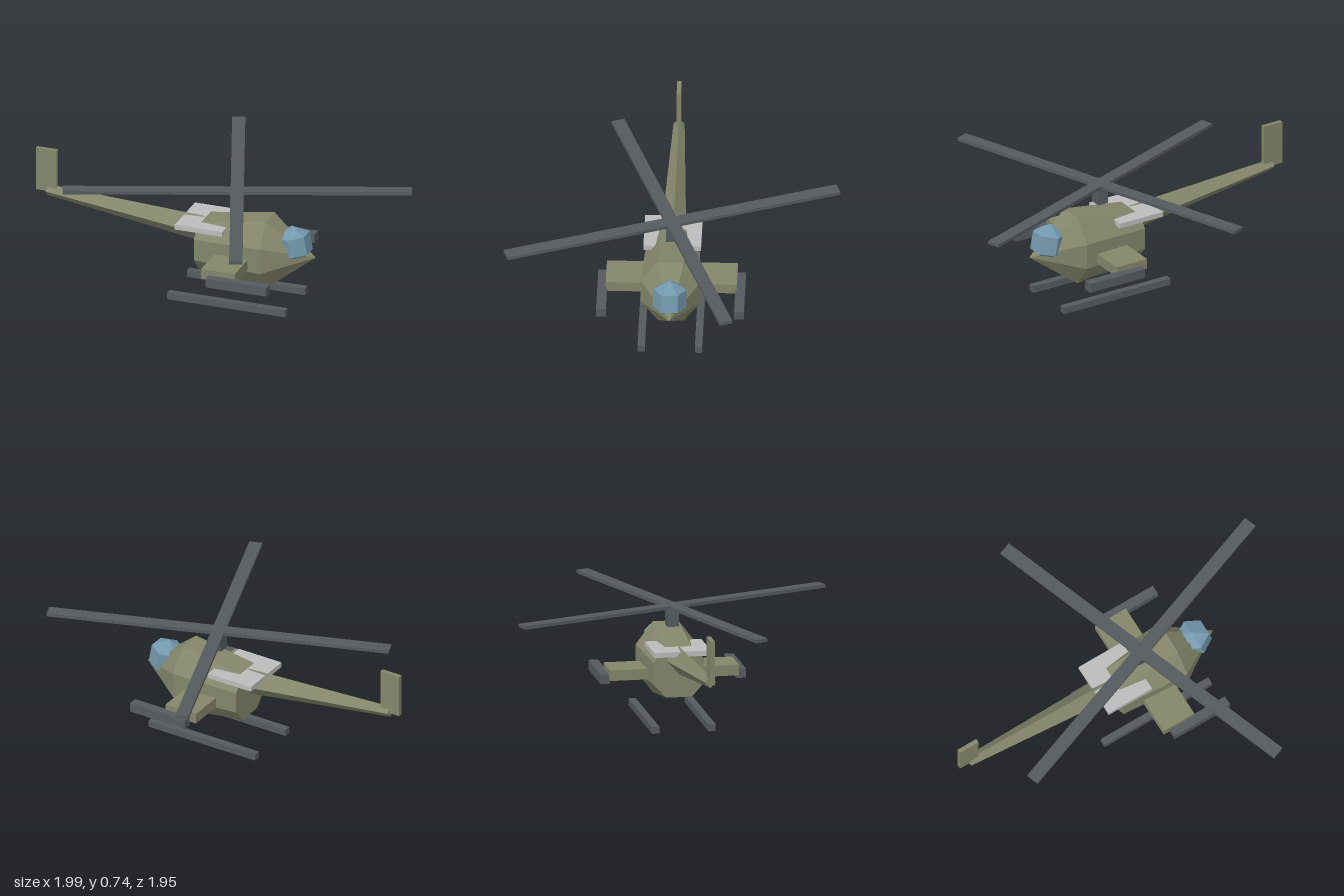
import * as THREE from 'three';
import { ConvexGeometry } from 'three/addons/geometries/ConvexGeometry.js';

const paint = (name, color) => {
  const m = new THREE.MeshStandardMaterial({ color, flatShading: true });
  m.name = name;
  return m;
};

export function createModel() {
  const olive = paint('olive', 0x83866a);
  const dark = paint('darkGrey', 0x565a5f);
  const light = paint('lightGrey', 0xbcbcbc);
  const blue = paint('glassBlue', 0x7399ae);

  // The craft points along its own +x; z is across, then it is yawed as a whole
  const craft = new THREE.Group();
  craft.name = 'helicopter';

  const add = (name, geometry, material) => {
    const mesh = new THREE.Mesh(geometry, material);
    mesh.name = name;
    craft.add(mesh);
    return mesh;
  };
  // Box given by its low and high corners
  const box = (name, material, [x0, y0, z0], [x1, y1, z1]) => {
    const mesh = add(name, new THREE.BoxGeometry(x1 - x0, y1 - y0, z1 - z0), material);
    mesh.position.set((x0 + x1) / 2, (y0 + y1) / 2, (z0 + z1) / 2);
    return mesh;
  };
  // Eight-sided body section: half height h, half width w, half edges a (top) and b (side)
  const octagon = (x, y, h, w, a, b) =>
    [[a, h], [w, b], [w, -b], [a, -h], [-a, -h], [-w, -b], [-w, b], [-a, h]]
      .map(([z, dy]) => new THREE.Vector3(x, y + dy, z));
  // Diamond tail section
  const diamond = (x, y, h, w) =>
    [[0, h], [w, 0], [0, -h], [-w, 0]].map(([z, dy]) => new THREE.Vector3(x, y + dy, z));

  // Fuselage with pointed nose
  add('fuselage', new ConvexGeometry([
    new THREE.Vector3(0.48, 0.315, 0),
    ...octagon(0.2, 0.317, 0.208, 0.174, 0.074, 0.077),
    ...octagon(-0.21, 0.317, 0.145, 0.148, 0.076, 0.064),
  ]), olive);

  // Tail boom and fin
  add('tailBoom', new ConvexGeometry([
    ...diamond(-0.2, 0.388, 0.082, 0.075),
    ...diamond(-1.16, 0.484, 0.034, 0.032),
  ]), olive);
  box('tailFin', olive, [-1.225, 0.48, -0.0125], [-1.1, 0.74, 0.0125]);

  // Canopy, leaning back
  const glass = new THREE.SphereGeometry(0.11, 6, 3).rotateY(Math.PI / 6);
  const canopy = add('canopy', glass, blue);
  canopy.position.set(0.353, 0.385, 0);
  canopy.rotation.z = 0.18;

  // Engine deck
  box('engineDeck', light, [-0.32, 0.435, -0.165], [-0.03, 0.465, 0.165]);

  // Stub wings, pods and skids on both sides
  box('stubWings', olive, [-0.08, 0.253, -0.375], [0.125, 0.315, 0.375]);
  for (const [side, s] of [['left', -1], ['right', 1]]) {
    box(`${side}Pod`, dark, [-0.037, 0.227, s * 0.395 - 0.028], [0.335, 0.282, s * 0.395 + 0.028]);
    box(`${side}Skid`, dark, [-0.36, 0, s * 0.164 - 0.021], [0.36, 0.04, s * 0.164 + 0.021]);
  }

  // Rotor mast and crossed blades
  box('rotorMast', dark, [-0.033, 0.544, -0.033], [0.033, 0.642, 0.033]);
  for (let i = 0; i < 2; i++) {
    const blade = box('rotorBlade', dark, [-1, 0.65, -0.038], [1, 0.67, 0.038]);
    blade.rotation.y = 0.349 + i * Math.PI / 2;
  }

  craft.rotation.y = -0.604;
  craft.position.set(0.012, 0, -0.005);
  const model = new THREE.Group();
  model.name = 'model';
  model.add(craft);
  return model;
}
